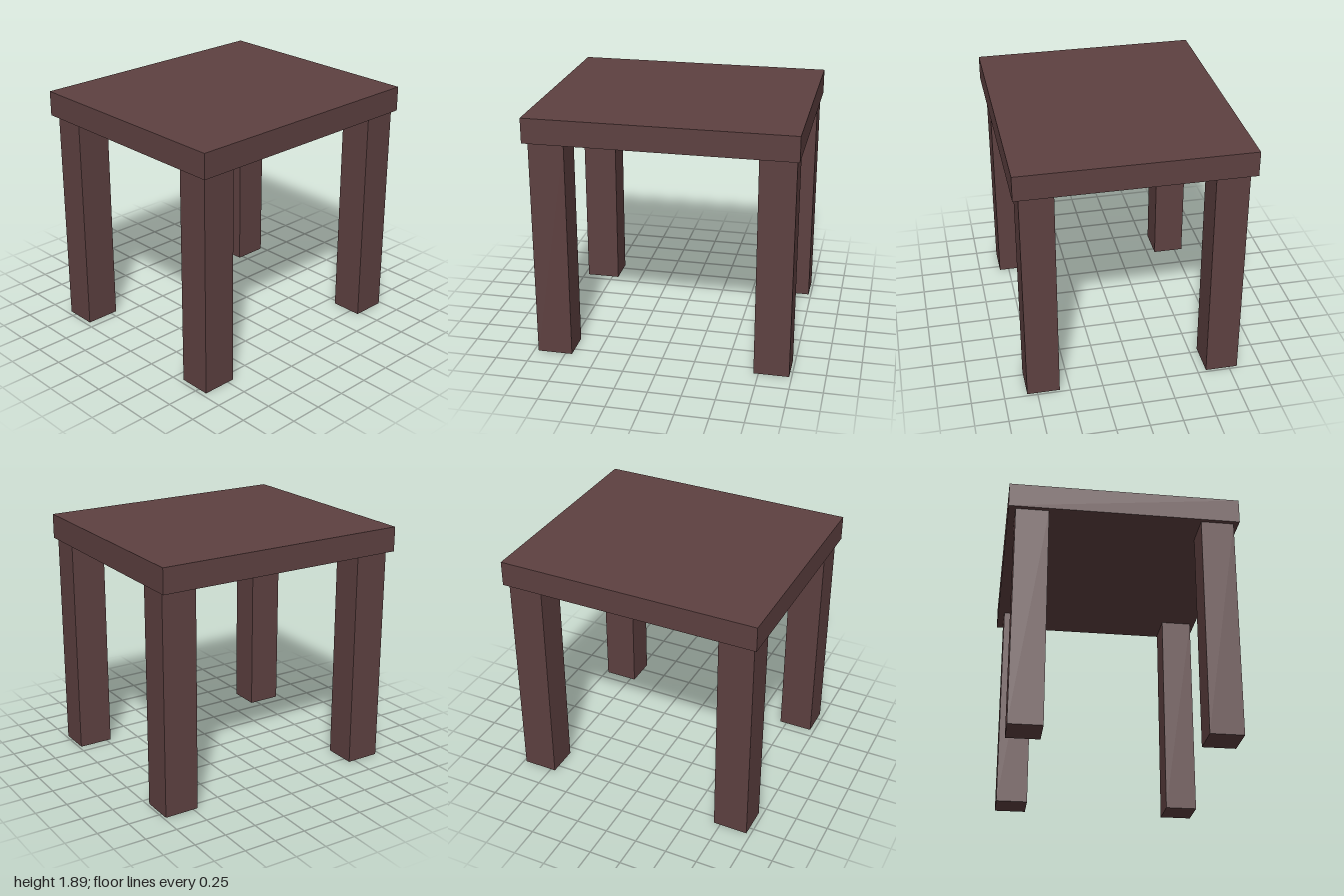
import * as THREE from 'three';

export function createModel() {
  const group = new THREE.Group();
  const wood = new THREE.MeshStandardMaterial({ color: 0x5d4040 });

  // Box given by its size, centre in plan and the height of its base
  const addBox = (name, [w, h, d], x, base, z) => {
    const mesh = new THREE.Mesh(new THREE.BoxGeometry(w, h, d), wood);
    mesh.name = name;
    mesh.position.set(x, base + h / 2, z);
    group.add(mesh);
  };

  const legHeight = 1.705;

  // Flat top slab
  addBox('tableTop', [1.734, 0.19, 2], 0, legHeight, 0);

  // Four square posts, set slightly off centre under the slab
  for (const [side, x] of [['Right', -0.69], ['Left', 0.703]]) {
    for (const [end, z] of [['front', 0.832], ['back', -0.847]]) {
      addBox(`${end}${side}Leg`, [0.248, legHeight, 0.268], x, 0, z);
    }
  }

  return group;
}
